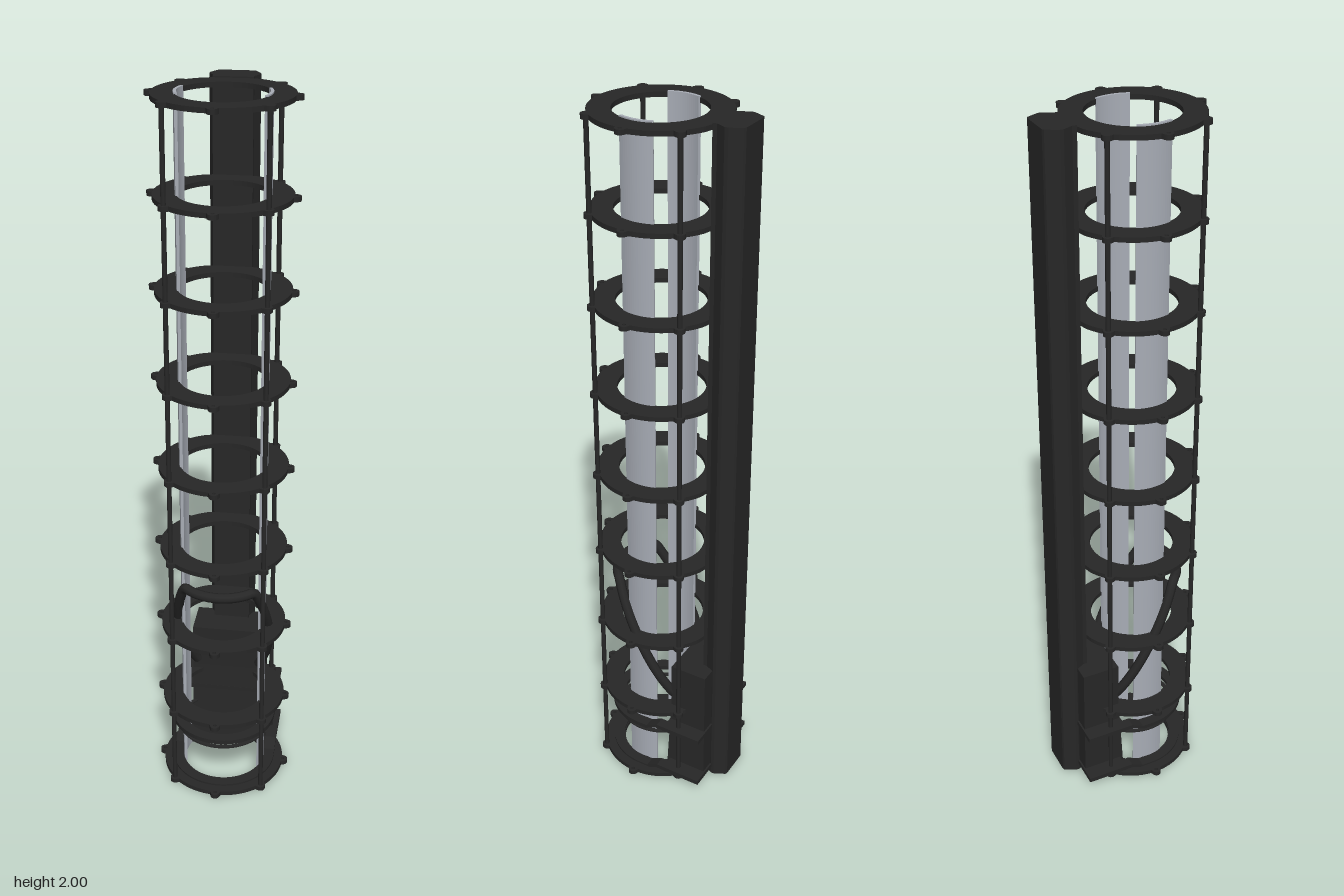
import * as THREE from 'three';

const dark = new THREE.MeshStandardMaterial({ color: 0x272727, side: THREE.DoubleSide });
const metal = new THREE.MeshStandardMaterial({ color: 0xa8adb6 });
const CZ = 0.027; // cage axis, z
const RING_Y = [0.007, 0.25, 0.5, 0.75, 1, 1.25, 1.5, 1.745, 1.99];
const RING_H = 0.013;

// Half outline of the rear spine, [x, z]
const SPINE = [[0.052, -0.14], [0.052, -0.152], [0.065, -0.178], [0.065, -0.188], [0.049, -0.22], [0.043, -0.223]];

function mesh(name, geo, mat = dark) {
  const m = new THREE.Mesh(geo, mat);
  m.name = name;
  return m;
}

// Extrudes a plan shape (drawn as x, -z) upwards from y0
function slab(shape, y0, h) {
  const g = new THREE.ExtrudeGeometry(shape, { depth: h, bevelEnabled: false, curveSegments: 48 });
  return g.rotateX(-Math.PI / 2).translate(0, y0, 0);
}

const planShape = (pts) => new THREE.Shape(pts.map(([x, z]) => new THREE.Vector2(x, -z)));
const mirrored = (pts) => [...pts, ...pts.map(([x, z]) => [-x, z]).reverse()];

function circleHole(x, z, r) {
  return new THREE.Path().absarc(x, -z, r, 0, Math.PI * 2, true);
}

// Arc band about the cage axis; angles run from the front (+z) towards +x
function band(rIn, rOut, a0, a1, n = 40) {
  const pts = [];
  for (let i = 0; i <= n; i++) {
    const a = a0 + (a1 - a0) * i / n;
    pts.push([rOut * Math.sin(a), CZ + rOut * Math.cos(a)]);
  }
  for (let i = n; i >= 0; i--) {
    const a = a0 + (a1 - a0) * i / n;
    pts.push([rIn * Math.sin(a), CZ + rIn * Math.cos(a)]);
  }
  return planShape(pts);
}

// Ring plate: circle with seven lugs, running into the spine at the back
function ringShape() {
  const R = 0.177, lugD = 0.18, lugR = 0.0135, step = Math.PI / 4;
  const half = [];
  for (let d = 0; d <= 156; d++) {
    const a = d * Math.PI / 180;
    const off = a - Math.min(3, Math.round(a / step)) * step;
    const s = lugD * Math.sin(off);
    const lug = Math.abs(s) < lugR ? lugD * Math.cos(off) + Math.sqrt(lugR * lugR - s * s) : 0;
    const r = Math.max(R, lug);
    half.push([r * Math.sin(a), CZ + r * Math.cos(a)]);
  }
  const shape = planShape(mirrored([...half, ...SPINE]));
  shape.holes.push(circleHole(0, CZ, 0.118));
  for (const k of [-2, 0, 2]) {
    shape.holes.push(circleHole(lugD * Math.sin(k * step), CZ + lugD * Math.cos(k * step), 0.005));
  }
  return shape;
}

// Extrudes a side profile of [z, y] points across x0..x1
function sideProfile(pts, x0, x1) {
  const s = new THREE.Shape(pts.map(([z, y]) => new THREE.Vector2(-z, y)));
  const g = new THREE.ExtrudeGeometry(s, { depth: x1 - x0, bevelEnabled: false });
  return g.rotateY(Math.PI / 2).translate(x0, 0, 0);
}

export function createModel() {
  const model = new THREE.Group();
  model.name = 'ringCage';

  // Ring plates
  const ring = slab(ringShape(), -RING_H / 2, RING_H);
  RING_Y.forEach((y) => {
    const m = mesh('ringPlate', ring);
    m.position.y = y;
    model.add(m);
  });

  // Spine, one segment between each pair of plates, with a short cap on top
  const spineShape = planShape(mirrored(SPINE));
  RING_Y.forEach((y, i) => {
    const y0 = y + RING_H / 2;
    const y1 = i + 1 < RING_Y.length ? RING_Y[i + 1] - RING_H / 2 : 2;
    model.add(mesh('spineSegment', slab(spineShape, y0, y1 - y0)));
  });

  // Tie rods through the diagonal lugs
  for (const a of [45, 135, 225, 315]) {
    const t = a * Math.PI / 180;
    const rod = mesh('tieRod', new THREE.CylinderGeometry(0.0065, 0.0065, 1.992, 12));
    rod.position.set(0.18 * Math.sin(t), 1, CZ + 0.18 * Math.cos(t));
    model.add(rod);
  }

  // Curved metal guide strips inside the rings
  for (const side of [-1, 1]) {
    const mid = side * Math.PI / 2;
    model.add(mesh('guideStrip', slab(band(0.113, 0.121, mid - 0.39, mid + 0.39, 14), 0.008, 1.992), metal));
  }

  // Housing at the foot of the spine, leaning forward at its base
  model.add(mesh('housing', sideProfile(
    [[-0.175, 0.02], [-0.05, 0.02], [-0.065, 0.27], [-0.065, 0.4], [-0.175, 0.4]], -0.106, 0.106)));

  // Two stepped cradles: front half ring, side arms and rear flange
  for (const y of [0.006, 0.167]) {
    const cradle = new THREE.Group();
    cradle.name = 'cradle';
    cradle.add(mesh('cradleArc', slab(band(0.12, 0.151, -Math.PI / 2, Math.PI / 2), y, 0.013)));
    for (const x of [-0.151, 0.12]) {
      cradle.add(mesh('cradleArm', sideProfile([
        [CZ, y], [0, y], [-0.035, y + 0.018], [-0.18, y + 0.018],
        [-0.18, y + 0.031], [-0.04, y + 0.031], [-0.005, y + 0.013], [CZ, y + 0.013],
      ], x, x + 0.031)));
    }
    const flange = mesh('rearFlange', new THREE.BoxGeometry(0.302, 0.014, 0.12));
    flange.position.set(0, y + 0.024, -0.12);
    cradle.add(flange);
    model.add(cradle);
  }

  // Thin retaining hoop between the cradles
  model.add(mesh('retainingHoop', slab(band(0.122, 0.134, -2.3, 2.3), 0.138, 0.004)));

  // Sloping handle wrapped round the cage, level across the front
  const path = [];
  for (let i = -24; i <= 24; i++) {
    const a = i / 24 * 2.36;
    const z = CZ + 0.13 * Math.cos(a);
    path.push(new THREE.Vector3(0.13 * Math.sin(a), Math.min(0.653, 0.29 + (z + 0.065) * 2.03), z));
  }
  model.add(mesh('handle', new THREE.TubeGeometry(new THREE.CatmullRomCurve3(path), 96, 0.014, 8)));

  return model;
}
